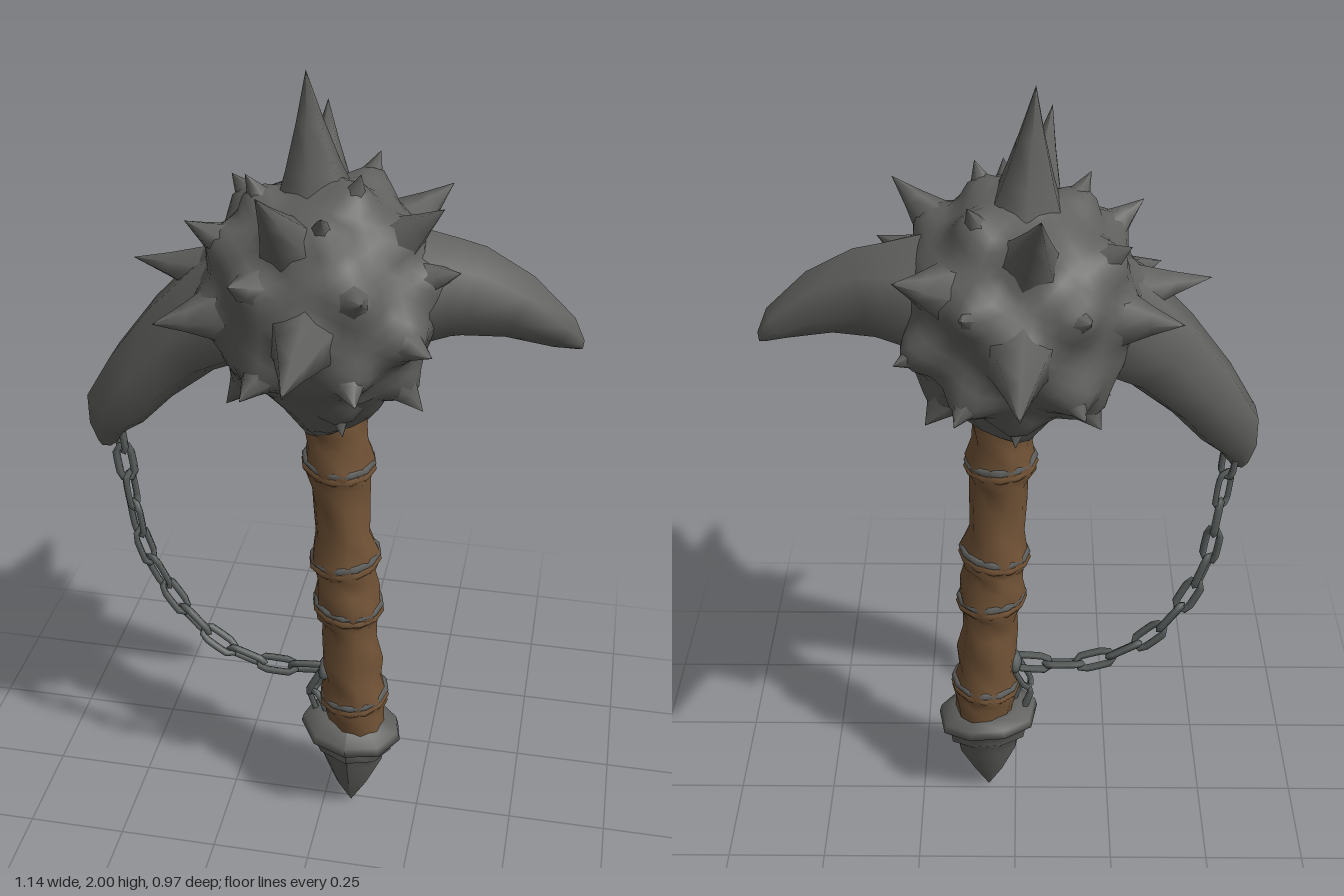
import * as THREE from 'three';
import { mergeVertices } from 'three/addons/utils/BufferGeometryUtils.js';

const metal = new THREE.MeshStandardMaterial({ color: 0x60605e });
metal.name = 'dark iron';
const chainMetal = new THREE.MeshStandardMaterial({ color: 0x5c6261 });
chainMetal.name = 'chain iron';
const leather = new THREE.MeshStandardMaterial({ color: 0x735437 });
leather.name = 'brown leather';

const V = (x, y, z) => new THREE.Vector3(x, y, z);
const CENTRE = V(-0.005, 1.5, 0);
const UP = V(0, 1, 0);

function part(name, geometry, material) {
  const mesh = new THREE.Mesh(geometry, material);
  mesh.name = name;
  return mesh;
}

// Skin rings of [x, y, z, radius in the xy plane, radius in z] along a path
function loft(rings, sides, wobble = 0) {
  const pos = [], index = [];
  rings.forEach(([x, y, z, r, rz], i) => {
    const a = rings[Math.max(i - 1, 0)], b = rings[Math.min(i + 1, rings.length - 1)];
    const t = V(b[0] - a[0], b[1] - a[1], 0).normalize();
    for (let j = 0; j < sides; j++) {
      const ang = (j / sides) * Math.PI * 2;
      const k = 1 + wobble * Math.sin(i * 2.3 + j * 1.9);
      const c = Math.cos(ang) * r * k;
      pos.push(x - t.y * c, y + t.x * c, z + Math.sin(ang) * rz * k);
      if (i < rings.length - 1) {
        const p = i * sides + j, q = i * sides + (j + 1) % sides;
        index.push(p, q, p + sides, q, q + sides, p + sides);
      }
    }
  });
  const g = new THREE.BufferGeometry();
  g.setAttribute('position', new THREE.Float32BufferAttribute(pos, 3));
  g.setIndex(index);
  g.computeVertexNormals();
  return g;
}

// Spike tips: [x, y, z, base radius]
const TIPS = [
  [-0.04, 2.0, 0, 0.09], [0.005, 1.5, 0.485, 0.085], [-0.01, 1.5, -0.485, 0.085],
  [-0.08, 1.84, 0.31, 0.075], [-0.05, 1.84, -0.3, 0.075],
  [0.27, 1.76, 0.1, 0.07], [0.25, 1.68, -0.25, 0.08],
  [-0.28, 1.7, 0.12, 0.07], [-0.24, 1.71, -0.14, 0.07],
  [-0.43, 1.56, 0.02, 0.08], [-0.355, 1.55, -0.18, 0.08], [-0.335, 1.5, 0.22, 0.08],
  [0.31, 1.62, 0.1, 0.07], [0.27, 1.48, 0.225, 0.08], [0.26, 1.46, -0.2, 0.07],
  [0.13, 1.62, 0.29, 0.075], [-0.15, 1.63, 0.28, 0.075],
  [0.11, 1.61, -0.28, 0.075], [-0.155, 1.6, -0.27, 0.075],
  [0.12, 1.38, 0.29, 0.075], [-0.13, 1.37, 0.29, 0.075],
  [0.13, 1.35, -0.27, 0.075], [-0.15, 1.36, -0.26, 0.075],
  [0.24, 1.28, 0.1, 0.08], [0.2, 1.28, -0.15, 0.08],
  [-0.22, 1.23, 0.06, 0.08], [-0.19, 1.27, -0.15, 0.08],
  [0.07, 1.23, 0.16, 0.055], [0, 1.22, -0.15, 0.055],
  [0.09, 1.81, 0.07, 0.06], [-0.16, 1.79, 0.06, 0.06],
  [0.1, 1.79, -0.13, 0.06], [0.03, 1.76, 0.2, 0.06],
];

function buildHead() {
  const head = new THREE.Group();
  head.name = 'spikedHead';
  const dirs = TIPS.map(([x, y, z]) => V(x, y, z).sub(CENTRE).normalize());

  // Lumpy ball that swells toward the foot of every spike
  let ball = new THREE.IcosahedronGeometry(1, 9);
  ball.deleteAttribute('uv');
  ball.deleteAttribute('normal');
  ball = mergeVertices(ball, 1e-4);
  const p = ball.attributes.position, v = V(0, 0, 0);
  for (let i = 0; i < p.count; i++) {
    v.fromBufferAttribute(p, i).normalize();
    const near = Math.min(...dirs.map((d) => d.angleTo(v)));
    const r = 0.254 + 0.045 * Math.exp(-((near / 0.2) ** 2))
      + 0.008 * Math.sin(v.x * 7 + v.z * 5) * Math.cos(v.y * 6);
    v.multiplyScalar(r);
    v.x *= 1.04;
    v.add(CENTRE);
    p.setXYZ(i, v.x, v.y, v.z);
  }
  ball.computeVertexNormals();
  head.add(part('ball', ball, metal));

  // Spikes with flared feet sunk into the ball
  TIPS.forEach(([x, y, z, r], i) => {
    const len = V(x, y, z).distanceTo(CENTRE), base = 0.225, h = len - base;
    const profile = [[r, base], [r * 0.7, base + h * 0.25], [r * 0.35, base + h * 0.6], [0, len]]
      .map(([a, b]) => new THREE.Vector2(a, b));
    const spike = part('spike', new THREE.LatheGeometry(profile, 6, i), metal);
    spike.position.copy(CENTRE);
    spike.quaternion.setFromUnitVectors(UP, dirs[i]);
    head.add(spike);
  });

  // Short beak on one side, long drooping horn on the other
  head.add(part('beak', loft([
    [0.08, 1.53, 0, 0.16, 0.16], [0.2, 1.54, -0.005, 0.135, 0.145], [0.29, 1.54, -0.008, 0.112, 0.1],
    [0.33, 1.535, -0.005, 0.106, 0.083], [0.43, 1.51, 0, 0.076, 0.068], [0.53, 1.457, 0, 0.04, 0.045],
    [0.565, 1.425, -0.008, 0.014, 0.018], [0.572, 1.413, -0.01, 0.001, 0.001],
  ], 7), metal));
  head.add(part('longHorn', loft([
    [-0.08, 1.52, 0.01, 0.17, 0.16], [-0.22, 1.455, 0.015, 0.14, 0.125],
    [-0.33, 1.375, 0.018, 0.11, 0.1], [-0.43, 1.27, 0.02, 0.09, 0.088],
    [-0.5, 1.175, 0.02, 0.076, 0.068], [-0.522, 1.12, 0.02, 0.046, 0.045],
    [-0.527, 1.075, 0.02, 0.022, 0.028], [-0.528, 1.06, 0.02, 0.001, 0.001],
  ], 7), metal));

  // Collar gripping the handle
  head.add(part('collar', loft([
    [0.035, 1.2, 0.01, 0.083, 0.09], [0.03, 1.21, 0.01, 0.1, 0.1],
    [0.025, 1.25, 0.01, 0.125, 0.125], [0.02, 1.32, 0.01, 0.18, 0.18],
  ], 12, 0.03), metal));
  return head;
}

function buildHandle() {
  const handle = new THREE.Group();
  handle.name = 'handle';
  const axis = (y) => 0.027 + (1.22 - y) * 0.062;
  const bands = [1.08, 0.81, 0.67, 0.385];
  // Leather wrap, puckered in folds next to each band
  const rings = [[0.28, 0.074], [0.34, 0.078], [0.44, 0.072], [0.5, 0.077], [0.57, 0.07],
    [0.62, 0.069], [0.73, 0.078], [0.77, 0.074], [0.88, 0.067], [0.97, 0.07], [1.03, 0.071],
    [1.14, 0.072], [1.18, 0.076], [1.23, 0.078]];
  bands.forEach((y) => rings.push([y - 0.022, 0.082], [y + 0.012, 0.084]));
  rings.sort((a, b) => a[0] - b[0]);
  handle.add(part('leatherWrap',
    loft(rings.map(([y, r]) => [axis(y), y, 0.015, r, r * 1.02]), 10, 0.05), leather));

  // Tilted binding bands
  bands.forEach((y, i) => {
    const roll = part('leatherBand', new THREE.TorusGeometry(0.076, 0.014, 5, 12), leather);
    const rim = part('ironBand', new THREE.TorusGeometry(0.078, 0.011, 5, 12), metal);
    [roll, rim].forEach((m, k) => {
      m.rotation.set(Math.PI / 2 + 0.05, i % 2 ? 0.1 : -0.08, 0);
      m.position.set(axis(y), y + k * 0.016 - 0.008, 0.015);
      handle.add(m);
    });
  });
  return handle;
}

function buildPommel() {
  const profile = [[0, 0.005], [0.042, 0.08], [0.084, 0.18], [0.086, 0.205], [0.108, 0.222], [0.094, 0.24],
    [0.132, 0.262], [0.126, 0.285], [0.09, 0.305], [0.07, 0.307]];
  const g = new THREE.LatheGeometry(profile.map(([r, y]) => new THREE.Vector2(r, y)), 9);
  // Skew the upper rings so the cap sits unevenly
  const p = g.attributes.position;
  for (let i = 0; i < p.count; i++) {
    if (p.getY(i) > 0.15) p.setY(i, p.getY(i) - 0.1 * p.getX(i) + 0.008 * Math.sin(p.getZ(i) * 40));
    p.setZ(i, p.getZ(i) * 0.85);
  }
  g.computeVertexNormals();
  const pommel = part('pommel', g, metal);
  pommel.position.set(0.073, 0, 0.015);
  return pommel;
}

function buildChain() {
  const chain = new THREE.Group();
  chain.name = 'chain';
  // One angular link, long axis on y
  const outline = [[0.017, -0.035], [0.017, 0.035], [0, 0.052], [-0.017, 0.035], [-0.017, -0.035], [0, -0.052]];
  const linkPath = new THREE.CatmullRomCurve3(outline.map(([x, y]) => V(x, y, 0)), true, 'catmullrom', 0.2);
  const linkGeo = new THREE.TubeGeometry(linkPath, 12, 0.0095, 4, true);
  // Hanging run from horn to handle, then a short run down to the pommel
  const runs = [
    [12, [[-0.505, 1.13, 0.01], [-0.488, 0.95, 0], [-0.46, 0.76, 0], [-0.375, 0.59, 0],
      [-0.27, 0.49, 0.01], [-0.15, 0.445, 0.015], [0, 0.45, 0.015]]],
    [2, [[0.005, 0.45, 0.015], [-0.025, 0.38, 0.015], [0, 0.28, 0.015]]],
  ];
  runs.forEach(([n, pts]) => {
    const path = new THREE.CatmullRomCurve3(pts.map((q) => V(...q)));
    for (let i = 0; i < n; i++) {
      const u = (i + 0.5) / n;
      const link = part('chainLink', linkGeo, chainMetal);
      link.position.copy(path.getPointAt(u));
      link.quaternion.setFromUnitVectors(UP, path.getTangentAt(u));
      link.rotateY(i % 2 ? 0.5 : 0.5 + Math.PI / 2);
      chain.add(link);
    }
  });

  // Plate fixing the chain to the side of the handle
  const plate = part('chainAnchor', new THREE.SphereGeometry(0.035, 8, 6), chainMetal);
  plate.scale.set(0.5, 0.9, 1);
  plate.position.set(0.002, 0.45, 0.015);
  chain.add(plate);
  return chain;
}

export function createModel() {
  const model = new THREE.Group();
  model.name = 'spikedMace';
  model.add(buildHead(), buildHandle(), buildPommel(), buildChain());
  return model;
}
